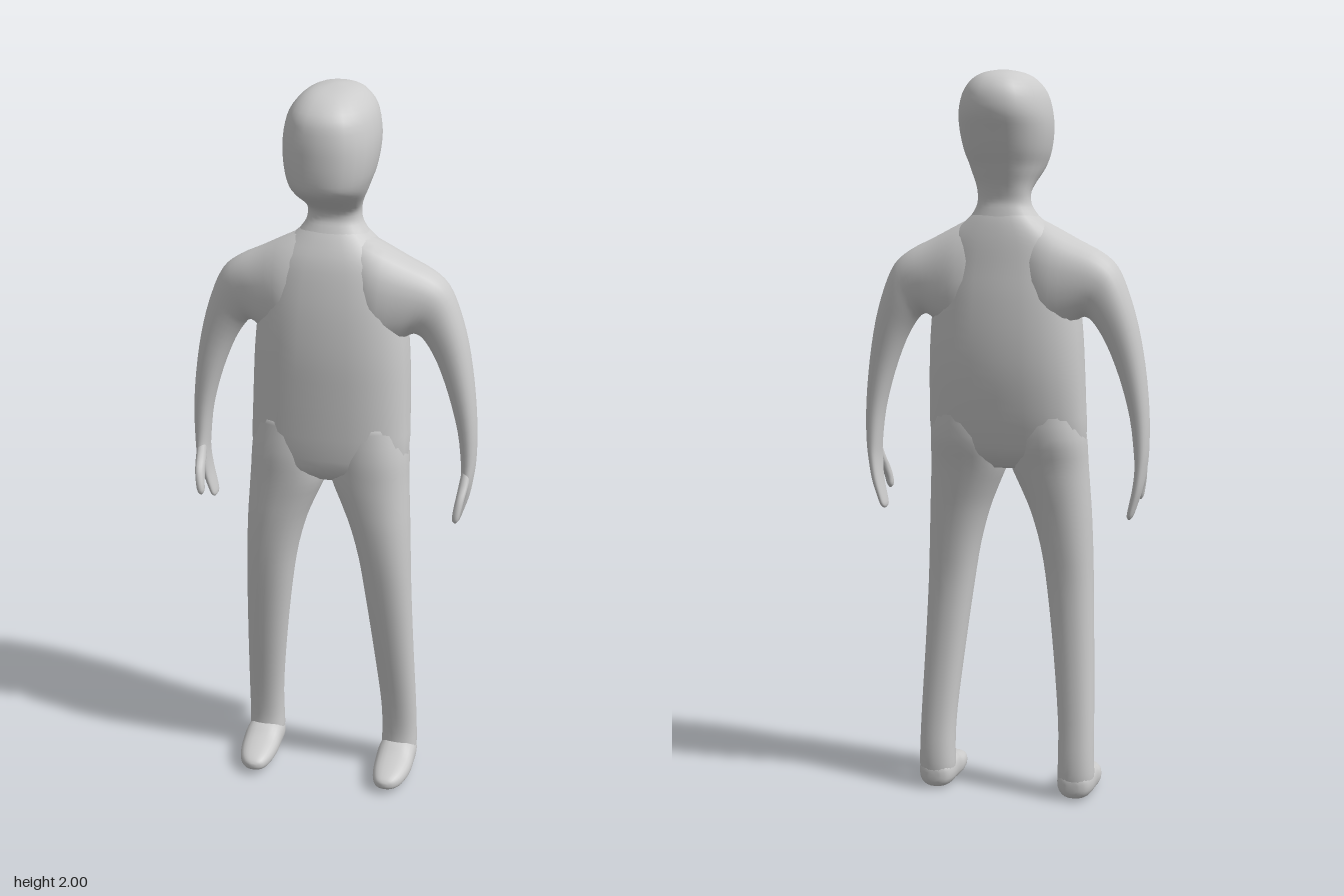
import * as THREE from 'three';

const material = new THREE.MeshStandardMaterial({ color: 0xcccccc });

// A section is [centre xyz, half-axis u xyz, half-axis v xyz].
// Horizontal or tilted section between two points of the xy outline, with front and back depth.
const across = ([ax, ay, bx, by, zf, zb]) => [
  (ax + bx) / 2, (ay + by) / 2, (zf + zb) / 2,
  (ax - bx) / 2, (ay - by) / 2, 0,
  0, 0, (zf - zb) / 2];
// Section symmetric about x = 0
const level = ([y, w, zf, zb]) => across([w, y, -w, y, zf, zb]);
// Upright section facing z, for the foot
const upright = ([z, x0, x1, y0, y1]) => [
  (x0 + x1) / 2, (y0 + y1) / 2, z, (x1 - x0) / 2, 0, 0, 0, (y1 - y0) / 2, 0];

// Smooth closed skin through the sections; power above 2 makes them boxier
function loft(name, sections, { side = 1, power = 2.2, steps = 3, around = 24 } = {}) {
  const rings = [];
  const last = sections.length - 1;
  for (let i = 0; i < last; i++) {
    const [a, b, c, d] = [i - 1, i, i + 1, i + 2].map(k => sections[Math.min(last, Math.max(0, k))]);
    for (let s = 0; s < steps; s++) {
      const t = s / steps;
      rings.push(b.map((p, k) => p + 0.5 * t * (c[k] - a[k]
        + t * (2 * a[k] - 5 * p + 4 * c[k] - d[k] + t * (3 * (p - c[k]) + d[k] - a[k])))));
    }
  }
  rings.push(sections[last]);

  const pos = [], index = [];
  const soft = v => Math.sign(v) * Math.pow(Math.abs(v), 2 / power);
  for (const r of rings) {
    for (let j = 0; j < around; j++) {
      const ang = (j / around) * Math.PI * 2;
      const cu = soft(Math.cos(ang)), sv = soft(Math.sin(ang));
      const p = [0, 1, 2].map(k => r[k] + cu * r[3 + k] + sv * r[6 + k]);
      pos.push(p[0] * side, p[1], p[2]);
    }
  }
  for (let i = 0; i < rings.length - 1; i++) {
    for (let j = 0; j < around; j++) {
      const n = (j + 1) % around;
      const a = i * around + j, b = i * around + n;
      index.push(a, a + around, b, b, a + around, b + around);
    }
  }
  // End caps
  const end = (rings.length - 1) * around;
  for (const [r, base, flip] of [[rings[0], 0, false], [rings.at(-1), end, true]]) {
    const centre = pos.length / 3;
    pos.push(r[0] * side, r[1], r[2]);
    for (let j = 0; j < around; j++) {
      const a = base + j, b = base + (j + 1) % around;
      index.push(centre, ...(flip ? [b, a] : [a, b]));
    }
  }
  // Turn the faces outward using the signed volume
  let volume = 0;
  const at = k => new THREE.Vector3().fromArray(pos, k * 3);
  for (let i = 0; i < index.length; i += 3) {
    volume += at(index[i]).dot(at(index[i + 1]).cross(at(index[i + 2])));
  }
  if (volume < 0) index.reverse();

  const geometry = new THREE.BufferGeometry();
  geometry.setAttribute('position', new THREE.Float32BufferAttribute(pos, 3));
  geometry.setIndex(index);
  geometry.computeVertexNormals();
  const mesh = new THREE.Mesh(geometry, material);
  mesh.name = name;
  return mesh;
}

export function createModel() {
  const model = new THREE.Group();
  model.name = 'figure';

  // Head and neck: y, half width, front z, back z
  model.add(loft('head', [
    [2.0, 0.012, -0.02, -0.05], [1.993, 0.05, 0.05, -0.105], [1.975, 0.082, 0.1, -0.145],
    [1.94, 0.108, 0.14, -0.17], [1.89, 0.121, 0.155, -0.174], [1.84, 0.122, 0.159, -0.155],
    [1.79, 0.114, 0.158, -0.134], [1.755, 0.102, 0.15, -0.116], [1.73, 0.092, 0.118, -0.105],
    [1.705, 0.08, 0.072, -0.094], [1.68, 0.072, 0.032, -0.086], [1.655, 0.072, 0.025, -0.082],
    [1.63, 0.082, 0.036, -0.087], [1.58, 0.12, 0.06, -0.098],
  ].map(level), { power: 2.3 }));

  // Torso
  model.add(loft('torso', [
    [1.63, 0.075, 0.034, -0.085], [1.6, 0.11, 0.054, -0.095], [1.55, 0.16, 0.08, -0.105],
    [1.48, 0.185, 0.1, -0.114], [1.4, 0.2, 0.115, -0.124], [1.3, 0.21, 0.125, -0.129],
    [1.2, 0.215, 0.127, -0.125], [1.1, 0.218, 0.127, -0.11], [1.03, 0.219, 0.125, -0.093],
    [0.97, 0.205, 0.115, -0.07], [0.93, 0.13, 0.07, -0.03],
  ].map(level), { power: 2.4 }));

  for (const side of [1, -1]) {
    const word = side > 0 ? 'left' : 'right';

    // Shoulder, arm and hand: outer x y, inner x y, front z, back z
    model.add(loft(word + 'Arm', [
      [0.05, 1.63, 0.05, 1.28, 0.07, -0.095], [0.12, 1.598, 0.11, 1.29, 0.09, -0.112],
      [0.2, 1.556, 0.175, 1.32, 0.075, -0.105], [0.265, 1.523, 0.208, 1.345, 0.058, -0.097],
      [0.308, 1.485, 0.228, 1.348, 0.046, -0.09], [0.338, 1.42, 0.25, 1.33, 0.038, -0.086],
      [0.365, 1.33, 0.283, 1.275, 0.033, -0.077], [0.385, 1.22, 0.318, 1.185, 0.03, -0.065],
      [0.397, 1.1, 0.346, 1.08, 0.024, -0.056], [0.398, 1.0, 0.358, 0.985, 0.021, -0.053],
      [0.392, 0.94, 0.36, 0.935, 0.027, -0.053], [0.382, 0.885, 0.355, 0.885, 0.015, -0.053],
      [0.368, 0.84, 0.346, 0.84, 0.01, -0.05], [0.358, 0.812, 0.341, 0.812, 0.005, -0.045],
      [0.35, 0.802, 0.345, 0.802, -0.01, -0.03],
    ].map(across), { side }));

    // Thumb
    model.add(loft(word + 'Thumb', [
      [0.388, 0.985, 0.365, 0.985, 0.012, -0.025], [0.387, 0.945, 0.36, 0.94, 0.04, 0],
      [0.382, 0.912, 0.357, 0.908, 0.068, 0.027], [0.376, 0.88, 0.353, 0.876, 0.081, 0.048],
      [0.371, 0.855, 0.352, 0.853, 0.083, 0.056], [0.364, 0.843, 0.358, 0.843, 0.074, 0.065],
    ].map(across), { side, around: 14 }));

    // Leg
    model.add(loft(word + 'Leg', [
      [0.2, 1.12, 0.01, 1.12, 0.11, -0.09], [0.217, 1.02, 0.0, 1.02, 0.122, -0.089],
      [0.221, 0.94, 0.006, 0.94, 0.122, -0.067], [0.225, 0.87, 0.034, 0.87, 0.121, -0.052],
      [0.229, 0.8, 0.062, 0.8, 0.12, -0.04], [0.233, 0.7, 0.089, 0.7, 0.114, -0.028],
      [0.237, 0.58, 0.108, 0.58, 0.1, -0.02], [0.243, 0.4, 0.13, 0.4, 0.074, -0.027],
      [0.249, 0.22, 0.148, 0.22, 0.046, -0.043], [0.251, 0.12, 0.151, 0.12, 0.036, -0.054],
      [0.252, 0.06, 0.15, 0.06, 0.04, -0.056], [0.245, 0.02, 0.157, 0.02, 0.035, -0.05],
    ].map(across), { side }));

    // Foot: z, inner x, outer x, bottom y, top y
    model.add(loft(word + 'Foot', [
      [-0.056, 0.185, 0.215, 0.025, 0.055], [-0.047, 0.163, 0.238, 0.008, 0.075],
      [-0.02, 0.15, 0.252, 0.001, 0.09], [0.03, 0.147, 0.255, 0, 0.093],
      [0.07, 0.147, 0.255, 0, 0.075], [0.11, 0.15, 0.25, 0.002, 0.065],
      [0.145, 0.158, 0.239, 0.006, 0.056], [0.167, 0.17, 0.222, 0.014, 0.046],
      [0.175, 0.188, 0.203, 0.024, 0.036],
    ].map(upright), { side, power: 2.4 }));
  }
  return model;
}
